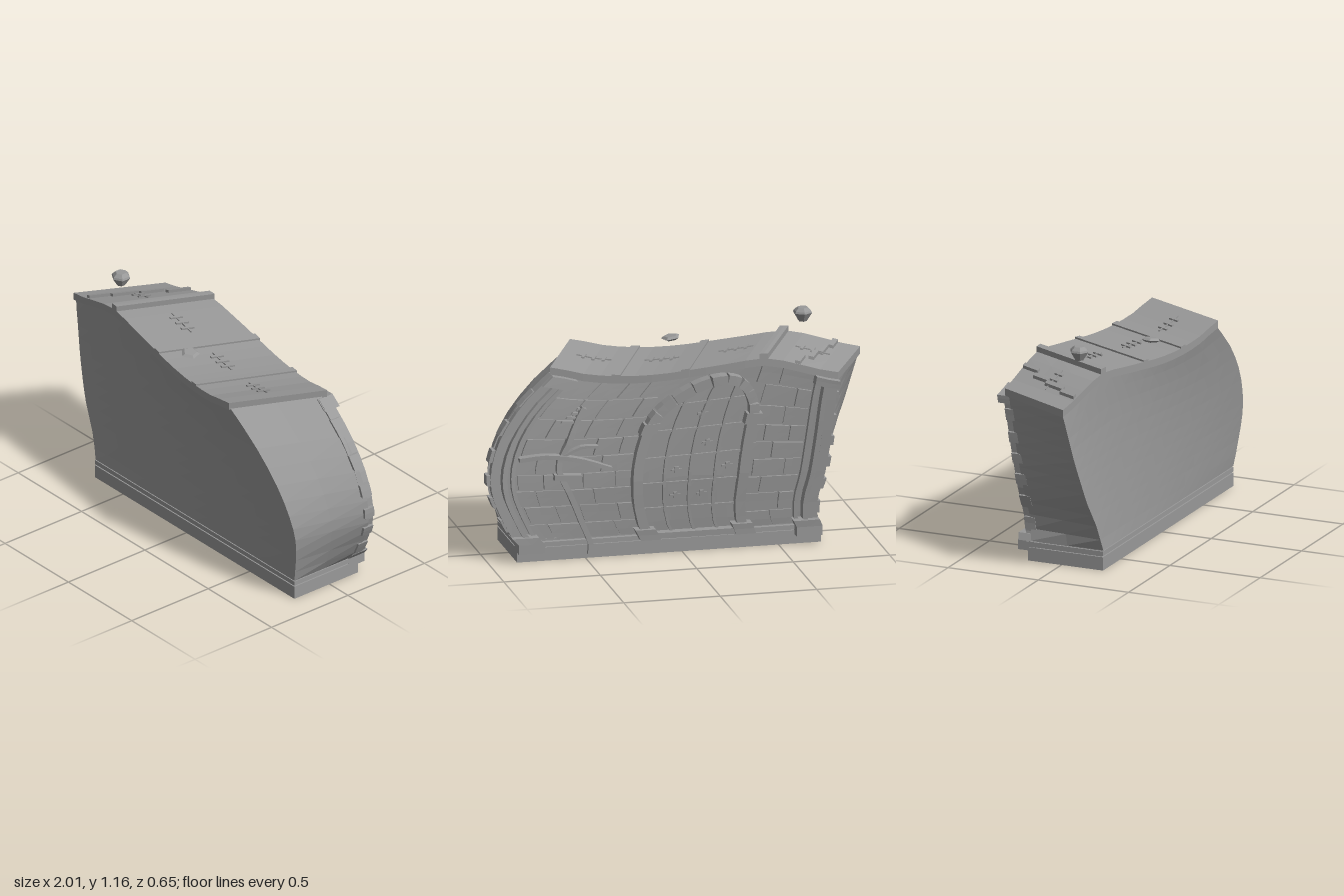
import * as THREE from 'three';

const lerp = THREE.MathUtils.lerp;
const spline = (pts) => new THREE.SplineCurve(pts.map(([x, y]) => new THREE.Vector2(x, y)));

// Side outlines of the front face (bottom to top) and the sagging top line (left to right)
const rightHand = spline([[-.715, .105], [-.76, .24], [-.83, .37], [-.88, .5], [-.92, .62], [-.955, .75], [-.99, .88]]);
const leftHand = spline([[.855, .105], [.885, .24], [.9, .37], [.87, .5], [.79, .65], [.65, .81], [.46, .965]]);
const topLine = spline([.88, .93, .975, .957, .935, .915, .91, .925, .965].map((y, i) => [i / 8, y]));

// Twisted wall: u across, v up, w from back (0) to front (1)
function wallPoint(u, v, w) {
  const t = THREE.MathUtils.clamp(v, 0, 1);
  const uc = THREE.MathUtils.clamp(u, 0, 1);
  const a = rightHand.getPoint(t), b = leftHand.getPoint(t);
  const sag = topLine.getPoint(uc).y - lerp(.88, .965, uc);
  const x = lerp(a.x, b.x, u) + .2 * Math.pow(t, .7) * (1 - w);
  const y = lerp(a.y, b.y, uc) + t * t * sag + (v - t) * .9;
  const front = .23 + lerp(-.1, .09, u) * t;
  const back = lerp(-.17 - .09 * t, -.155 + .045 * t, u) - .03 * Math.sin(Math.PI * uc) * Math.min(1, .3 + t * 2);
  return new THREE.Vector3(x, y, lerp(back, front, w));
}

export function createModel() {
  const model = new THREE.Group();
  model.name = 'warpedGateWall';
  const stone = new THREE.MeshStandardMaterial({ color: 0x999999 });
  stone.name = 'grey stone';

  const add = (name, geometry, parent = model) => {
    const mesh = new THREE.Mesh(geometry, stone);
    mesh.name = name;
    parent.add(mesh);
    return mesh;
  };
  const group = (name) => {
    const g = new THREE.Group();
    g.name = name;
    model.add(g);
    return g;
  };

  // Unit box bent by a rule that maps (0..1)^3 to space
  function warp(name, segs, rule, parent) {
    let geo = new THREE.BoxGeometry(1, 1, 1, ...segs);
    const p = geo.attributes.position;
    for (let i = 0; i < p.count; i++) {
      const q = rule(p.getX(i) + .5, p.getY(i) + .5, p.getZ(i) + .5);
      p.setXYZ(i, q.x, q.y, q.z);
    }
    geo = geo.toNonIndexed();
    geo.computeVertexNormals();
    return add(name, geo, parent);
  }

  // Raised plate on the back face, standing out from d0 to d1
  function plate(name, u0, u1, v0, v1, d0, d1, parent, segs = [2, 2, 1]) {
    return warp(name, segs, (a, b, c) => {
      const q = wallPoint(lerp(u0, u1, a), lerp(v0, v1, b), 0);
      q.z -= lerp(d1, d0, c);
      return q;
    }, parent);
  }

  // Rectangular strip following a path on the back face
  function strip(name, path, width, d0, d1, n, parent) {
    const curve = spline(path);
    const at = (t) => { const q = curve.getPoint(t); return wallPoint(q.x, q.y, 0); };
    return warp(name, [1, n, 1], (a, b, c) => {
      const q = at(b);
      const t = at(Math.min(1, b + .01)).sub(at(Math.max(0, b - .01)));
      const k = (a - .5) * width / Math.hypot(t.x, t.y);
      return new THREE.Vector3(q.x + t.y * k, q.y - t.x * k, q.z - lerp(d1, d0, c));
    }, parent);
  }

  // Roof piece: u across, w back to front, h above the wall
  function roofPiece(name, u0, u1, w0, w1, h0, h1, parent, segs = [3, 1, 3]) {
    return warp(name, segs, (a, b, c) => {
      const q = wallPoint(lerp(u0, u1, a), 1, lerp(w0, w1, c));
      q.y += lerp(h0, h1, b);
      return q;
    }, parent);
  }

  // Base
  const slab = (name, y0, y1, zBack, inset = 0) => add(name, new THREE.BoxGeometry(1.575 - inset, y1 - y0, .23 - zBack - inset)
    .translate(.0675, (y0 + y1) / 2, (.23 + zBack) / 2));
  slab('plinth', 0, .07, -.185);
  slab('plinthJoint', .065, .11, -.18, .02);
  slab('plinthSlab', .076, .1, -.195);

  // Wall body
  warp('wallBody', [16, 12, 2], wallPoint);

  // Roof panels, ribs and stitched seams
  const roof = group('roof');
  const breaks = [-.005, .255, .53, .77, 1];
  for (let i = 0; i < 4; i++) {
    const u0 = breaks[i], u1 = breaks[i + 1], m = (u0 + u1) / 2;
    roofPiece('roofPanel', u0, u1, -.06, 1.02, -.005, .034, roof, [4, 1, 3]);
    if (i) roofPiece('roofRib', u0 - .012, u0 + .018, -.07, 1.02, 0, i === 1 ? .06 : .043, roof, [2, 1, 3]);
    roofPiece('seam', m - .06, m + .06, .5, .515, .03, .041, roof);
    for (const k of [-.035, 0, .035]) roofPiece('seamStitch', m + k - .005, m + k + .005, .44, .575, .03, .043, roof);
  }
  for (const [u, w0, w1] of [[.07, .75, 1], [.085, .45, .76], [.1, .2, .46], [.13, -.05, .21]])
    roofPiece('roofVine', u, u + .018, w0, w1, .03, .05, roof);

  // Arched gate: door leaf, lattice, pillars, arch stones
  const gate = group('gate');
  const cu = .41, spring = .72;
  const arcTop = (u) => spring + .21 * Math.sqrt(Math.max(0, 1 - ((u - cu) / .155) ** 2));
  warp('doorLeaf', [10, 10, 1], (a, b, c) => {
    const u = lerp(cu - .15, cu + .15, a);
    const q = wallPoint(u, b * arcTop(u), 0);
    q.z -= lerp(.012, -.02, c);
    return q;
  }, gate);
  for (const u of [.335, .41, .485]) strip('doorBar', [[u, .02], [u, .4], [u, arcTop(u)]], .014, 0, .028, 10, gate);
  for (const v of [.16, .33, .5, .67, .82]) {
    const half = v > spring ? .12 : .145;
    plate('doorCrossbar', cu - half, cu + half, v, v + .014, 0, .024, gate, [8, 1, 1]);
  }
  for (const [u, v] of [[.37, .25], [.45, .25], [.37, .58], [.45, .42], [.3, .42], [.41, .76]]) {
    plate('doorStud', u - .016, u + .016, v - .006, v + .006, 0, .022, gate);
    plate('doorStud', u - .006, u + .006, v - .02, v + .02, 0, .024, gate);
  }
  for (const s of [-1, 1]) {
    const u = cu + s * .157;
    strip('gatePillar', [[u, .03], [u, .25], [u, .5], [u, spring]], .05, -.02, .055, 8, gate);
    plate('gatePedestal', u - .033, u + .033, -.02, .06, -.02, .075, gate);
    plate('gateCapital', u - .024, u + .024, spring - .035, spring + .025, -.02, .07, gate);
  }
  plate('gateSill', cu - .16, cu + .16, -.02, .025, -.02, .06, gate, [6, 1, 1]);
  for (let i = 0; i < 9; i++) {
    const path = [.04, .5, .96].map((k) => {
      const ang = Math.PI * (i + k) / 9;
      return [cu + .157 * Math.cos(ang), spring + .225 * Math.sin(ang)];
    });
    strip('archStone', path, .05, -.02, i % 2 ? .058 : .066, 2, gate);
  }

  // Running-bond bricks around the gate
  const bricks = group('bricks');
  const rows = 9;
  for (let r = 0; r < rows; r++) {
    const v0 = r / rows + .006, v1 = (r + 1) / rows - .006;
    const half = v0 < spring ? .17 : .18 * Math.sqrt(Math.max(0, 1 - ((v0 - spring) / .25) ** 2));
    const spans = half > .02 ? [[.08, cu - half], [cu + half, .93]] : [[.08, .93]];
    for (const [s0, s1] of spans) {
      let u = s0, k = r;
      while (u < s1 - .01) {
        const end = Math.min(s1, u + (k === r && r % 2 ? .05 : .075 + .02 * ((k * 7 + r * 3) % 3)));
        if (end - u > .015) plate('brick', u + .003, end - .003, v0, v1, -.01, .009 + .004 * ((k + r) % 3), bricks);
        u = end;
        k++;
      }
    }
  }

  // Corner posts with rails, feet and caps
  const posts = group('cornerPosts');
  const rise = (u) => [0, .17, .33, .5, .67, .83, .97].map((v) => [u, v]);
  for (const [edge, s] of [[0, 1], [1, -1]]) {
    strip('cornerPost', rise(edge + s * .02), .05, -.03, .035, 14, posts);
    strip('cornerRail', rise(edge + s * .045), .025, -.02, .055, 14, posts);
    strip('innerRail', rise(edge + s * .072), .02, -.02, .028, 14, posts);
    const [u0, u1] = [edge, edge + s * .085].sort((a, b) => a - b);
    plate('postFoot', u0, u1, -.06, .05, -.03, .072, posts);
    plate('postCap', u0, u1, .93, .99, -.03, .066, posts);
    for (let i = 0; i < 6; i++) {
      const v = .08 + i * .15, e = edge - s * .005;
      plate('cornerStone', Math.min(e, e + s * .02), Math.max(e, e + s * .02), v, v + .07, -.03, .03, posts);
    }
  }

  // Hanging strap, branch and small vent on the wall
  const extras = group('wallExtras');
  strip('strap', [[.76, -.09], [.755, .1], [.765, .3], [.8, .5], [.79, .65], [.81, .85]], .028, 0, .04, 14, extras);
  strip('strapBand', [[.73, .42], [.81, .43]], .03, 0, .05, 2, extras);
  strip('branch', [[.92, .55], [.84, .57], [.74, .54], [.645, .47]], .022, .01, .055, 10, extras);
  strip('branchTwig', [[.8, .56], [.75, .62], [.7, .62]], .014, .01, .045, 6, extras);
  for (let i = 0; i < 4; i++) plate('ventSlat', .8, .845 - i * .006, .76 + i * .025, .772 + i * .025, 0, .03, extras);

  // Loose stones above the roof
  const rock = (name, profile, sides, x, y, z) => {
    let geo = new THREE.LatheGeometry(profile.map(([r, h]) => new THREE.Vector2(r, h)), sides).toNonIndexed();
    geo.computeVertexNormals();
    const m = add(name, geo);
    m.position.set(x, y, z);
    return m;
  };
  rock('floatingStone', [[0, 0], [.022, 0], [.05, .045], [.046, .055], [.028, .072], [0, .072]], 6, -.69, 1.085, .085);
  const flat = rock('flatStone', [[0, -.01], [.03, -.01], [.05, .002], [.035, .012], [0, .012]], 5, -.03, 1.015, .18);
  flat.rotation.z = -.15;

  return model;
}
